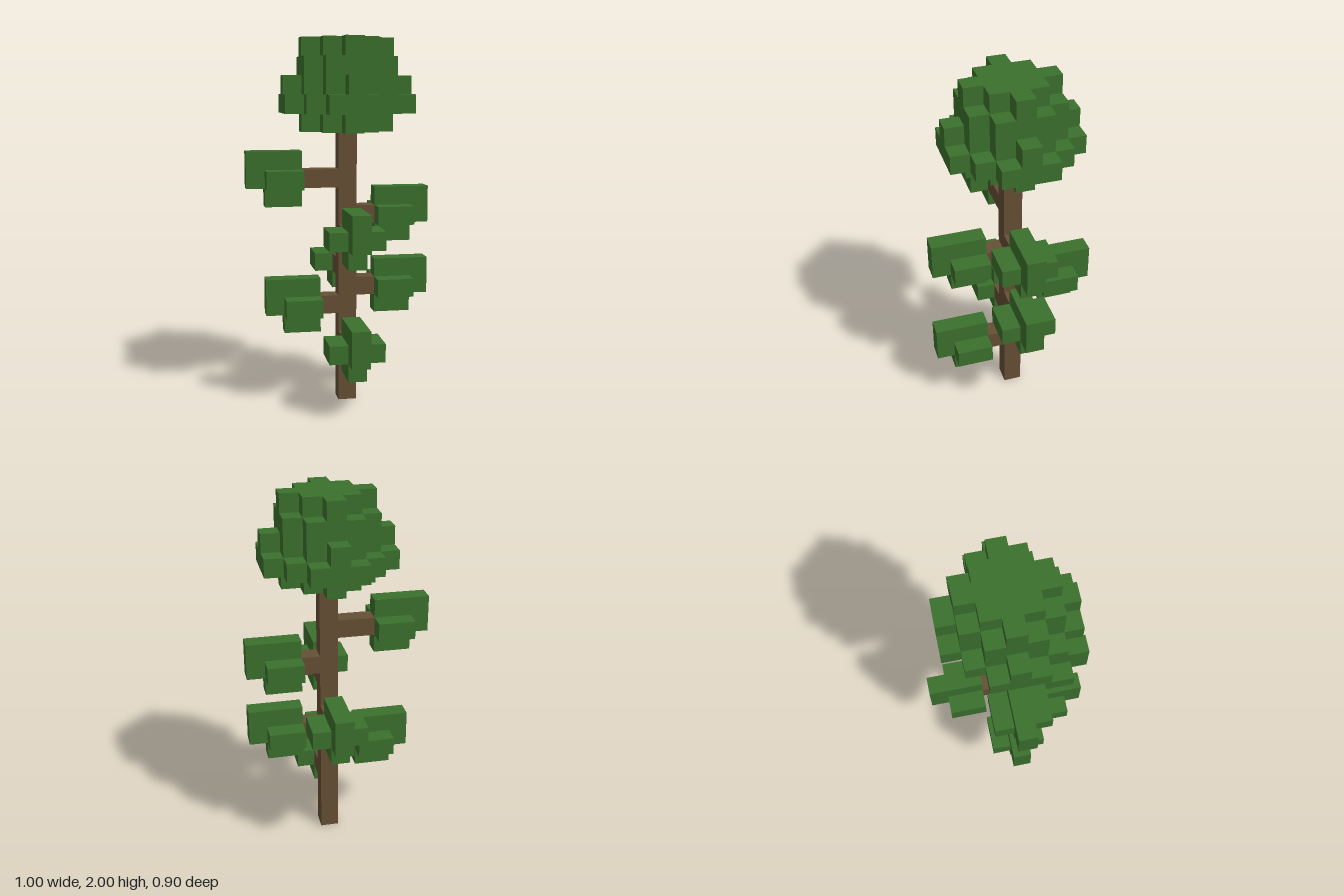
import * as THREE from 'three';

const U = 0.1; // side of one block

const bark = new THREE.MeshStandardMaterial({ color: 0x664f35 });
bark.name = 'bark';
const leaf = new THREE.MeshStandardMaterial({ color: 0x3b702d });
leaf.name = 'leaf green';

// Box given by its lower corner and size, both in blocks
function box(name, material, [x, y, z], [w, h, d]) {
  const geometry = new THREE.BoxGeometry(w * U, h * U, d * U);
  geometry.translate((x + w / 2) * U, (y + h / 2) * U, (z + d / 2) * U);
  const mesh = new THREE.Mesh(geometry, material);
  mesh.name = name;
  return mesh;
}

// One block-high crown layer with a stepped outline, from its row widths
function crownLayer(rows, level) {
  const right = [];
  rows.forEach((width, i) => {
    const y = i - rows.length / 2;
    right.push([width / 2, y], [width / 2, y + 1]);
  });
  const left = right.map(([x, y]) => [-x, y]).reverse();
  const points = [...right, ...left].map(([x, y]) => new THREE.Vector2(x * U, y * U));
  const geometry = new THREE.ExtrudeGeometry(new THREE.Shape(points), { depth: U, bevelEnabled: false });
  geometry.rotateX(-Math.PI / 2);
  const mesh = new THREE.Mesh(geometry, leaf);
  mesh.name = 'crownLayer';
  mesh.position.y = level * U;
  return mesh;
}

// Side branch pointing along +x, with a leaf cluster at its end
function branch(level, angle, length) {
  const group = new THREE.Group();
  group.name = 'branch';
  const tip = 0.5 + length;
  group.add(
    box('branchStem', bark, [0.5, 0, -0.5], [length, 1, 1]),
    box('leafBlade', leaf, [tip, 0, -0.5], [3, 2, 1]),
    box('leafUnderside', leaf, [tip, -1, -0.5], [2, 1, 1]),
    box('leafSideFront', leaf, [tip, 0, 0.5], [2, 1, 1]),
    box('leafSideBack', leaf, [tip, 0, -1.5], [2, 1, 1])
  );
  group.position.y = level * U;
  group.rotation.y = angle;
  return group;
}

export function createModel() {
  const tree = new THREE.Group();
  tree.name = 'tree';

  // Everything is arranged around the trunk axis, half a block off centre
  const body = new THREE.Group();
  body.name = 'treeBody';
  body.position.x = U / 2;
  tree.add(body);

  body.add(box('trunk', bark, [-0.5, 0, -0.5], [1, 15, 1]));

  // Branches: level, heading, stem length
  const LEFT = 0, RIGHT = Math.PI, FRONT = -Math.PI / 2, BACK = Math.PI / 2;
  [
    [3, FRONT, 1],
    [5, RIGHT, 1],
    [6, LEFT, 1],
    [7, BACK, 1],
    [9, FRONT, 1],
    [10, LEFT, 1],
    [12, RIGHT, 2],
  ].forEach(([level, angle, length]) => body.add(branch(level, angle, length)));

  // Crown, from the bottom layer up
  const crown = new THREE.Group();
  crown.name = 'crown';
  [
    [1, 3, 5, 3, 1],
    [3, 5, 7, 7, 7, 5, 3],
    [1, 3, 5, 7, 5, 3, 1],
    [3, 5, 5, 5, 3],
    [1, 3, 5, 3, 1],
  ].forEach((rows, i) => crown.add(crownLayer(rows, 15 + i)));
  body.add(crown);

  return tree;
}
